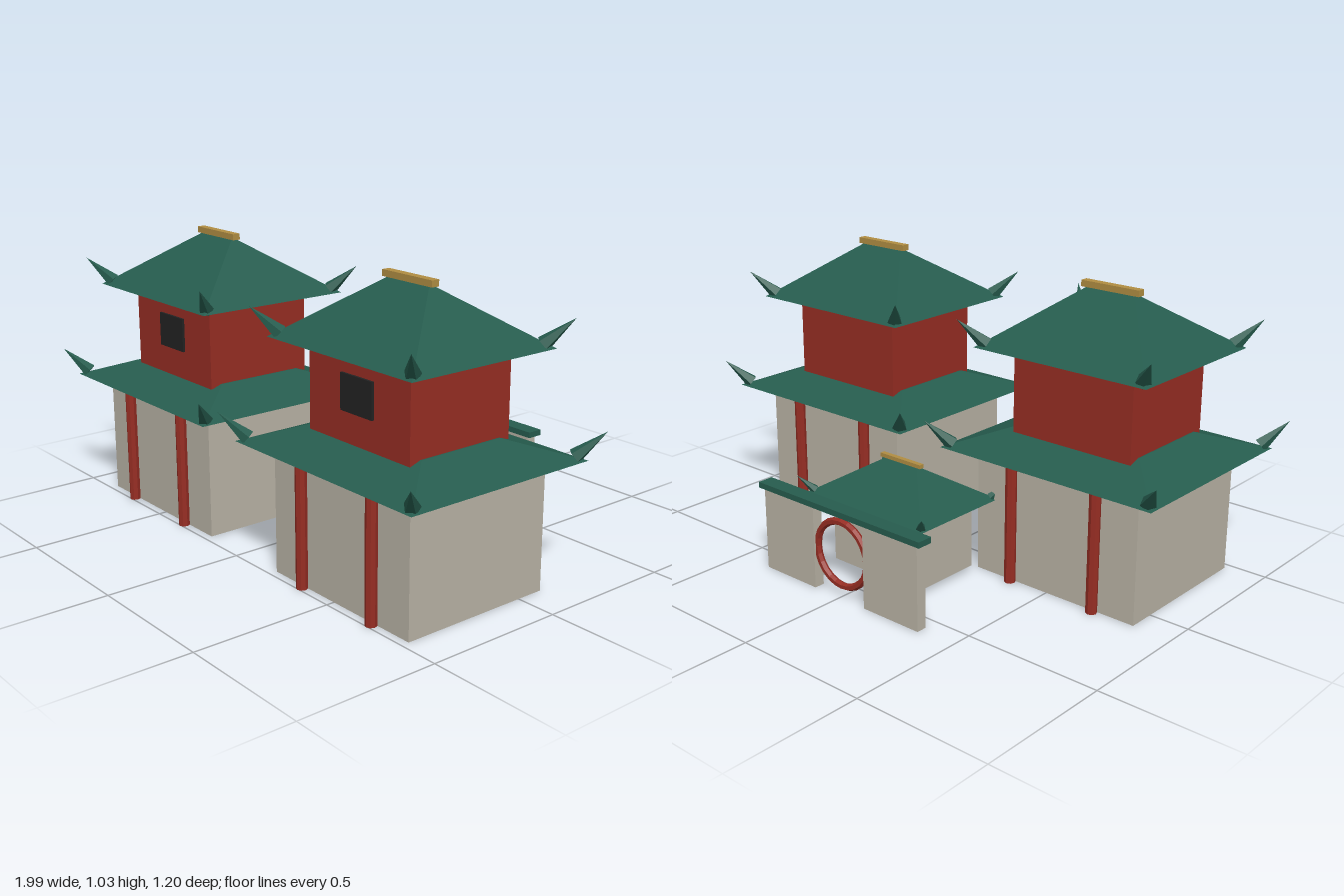
import * as THREE from 'three';

const mat = (name, color) => Object.assign(new THREE.MeshStandardMaterial({ color }), { name });

export function createModel() {
  const stone = mat('pale stone', 0xb8b2a4);
  const red = mat('red lacquer', 0x962d23);
  const green = mat('green tile', 0x265c4e);
  const gold = mat('gold ridge', 0xb08d42);
  const dark = mat('dark window', 0x222222);

  const model = new THREE.Group();
  model.name = 'twinTowerGatehouse';

  const add = (parent, name, geometry, material, x = 0, y = 0, z = 0) => {
    const mesh = new THREE.Mesh(geometry, material);
    mesh.name = name;
    mesh.position.set(x, y, z);
    parent.add(mesh);
    return mesh;
  };

  // Box standing on height y
  const block = (parent, name, material, w, h, d, x, y, z) =>
    add(parent, name, new THREE.BoxGeometry(w, h, d), material, x, y + h / 2, z);

  // Faceted copy of a geometry
  const faceted = (geometry) => {
    const g = geometry.toNonIndexed();
    g.computeVertexNormals();
    return g;
  };

  // Hip roof: a box whose upper corners are drawn in, with an upswept horn at each corner
  function hipRoof(parent, name, { hx, hz, topX, topZ, y, h, horn }) {
    const roof = new THREE.Group();
    roof.name = name;
    roof.position.y = y;
    parent.add(roof);

    const g = new THREE.BoxGeometry(2 * hx, h, 2 * hz);
    const p = g.attributes.position;
    for (let i = 0; i < p.count; i++) {
      if (p.getY(i) > 0) {
        p.setX(i, Math.sign(p.getX(i)) * topX);
        p.setZ(i, Math.sign(p.getZ(i)) * topZ);
      }
    }
    add(roof, 'roofSlopes', faceted(g), green, 0, h / 2, 0);

    const length = 0.13 * horn;
    const cone = faceted(new THREE.ConeGeometry(0.027 * horn, length, 5));
    for (const sx of [-1, 1]) {
      for (const sz of [-1, 1]) {
        const dir = new THREE.Vector3(sx * 0.07, 0.086, sz * 0.07).normalize();
        const mesh = add(roof, 'eaveHorn', cone, green,
          sx * (hx - 0.03 * horn), 0.013 * horn, sz * (hz - 0.03 * horn));
        mesh.position.addScaledVector(dir, length / 2);
        mesh.quaternion.setFromUnitVectors(new THREE.Vector3(0, 1, 0), dir);
      }
    }
    return roof;
  }

  // Two-storey towers
  const columnGeometry = faceted(new THREE.CylinderGeometry(0.02, 0.02, 0.453, 8));
  for (const side of [-1, 1]) {
    const tower = new THREE.Group();
    tower.name = side > 0 ? 'leftTower' : 'rightTower';
    tower.position.set(side * 0.525, 0, 0.186);
    model.add(tower);

    block(tower, 'lowerWalls', stone, 0.66, 0.453, 0.57, 0, 0, 0);
    for (const x of [-0.173, 0.173]) {
      for (const z of [-0.299, 0.299]) add(tower, 'column', columnGeometry, red, x, 0.2265, z);
    }
    hipRoof(tower, 'lowerRoof',
      { hx: 0.43, hz: 0.372, topX: 0.245, topZ: 0.166, y: 0.453, h: 0.071, horn: 1 });
    block(tower, 'upperWalls', red, 0.48, 0.3, 0.416, 0, 0.51, 0);
    block(tower, 'window', dark, 0.15, 0.122, 0.009, 0, 0.615, 0.2125);
    hipRoof(tower, 'upperRoof',
      { hx: 0.344, hz: 0.299, topX: 0.09, topZ: 0.001, y: 0.81, h: 0.2, horn: 1 });
    block(tower, 'ridgeCap', gold, 0.23, 0.022, 0.029, 0, 1.005, 0);
  }

  // Small hall between and behind the towers
  const hall = new THREE.Group();
  hall.name = 'rearHall';
  hall.position.z = -0.277;
  model.add(hall);
  block(hall, 'hallWalls', stone, 0.4, 0.254, 0.274, 0, 0.022, 0);
  hipRoof(hall, 'hallRoof',
    { hx: 0.27, hz: 0.195, topX: 0.07, topZ: 0.001, y: 0.276, h: 0.126, horn: 0.62 });
  block(hall, 'hallRidgeCap', gold, 0.186, 0.014, 0.018, 0, 0.4, 0);

  // Rear wall with a round gate
  const gate = new THREE.Group();
  gate.name = 'rearGate';
  gate.position.z = -0.571;
  model.add(gate);
  for (const side of [-1, 1]) {
    block(gate, 'gateWall', stone, 0.243, 0.302, 0.038, side * 0.2385, 0, 0);
  }
  block(gate, 'coping', green, 0.756, 0.021, 0.058, 0, 0.302, 0);
  add(gate, 'moonGateRing', faceted(new THREE.TorusGeometry(0.117, 0.013, 6, 24)), red, 0, 0.155, 0);

  return model;
}
